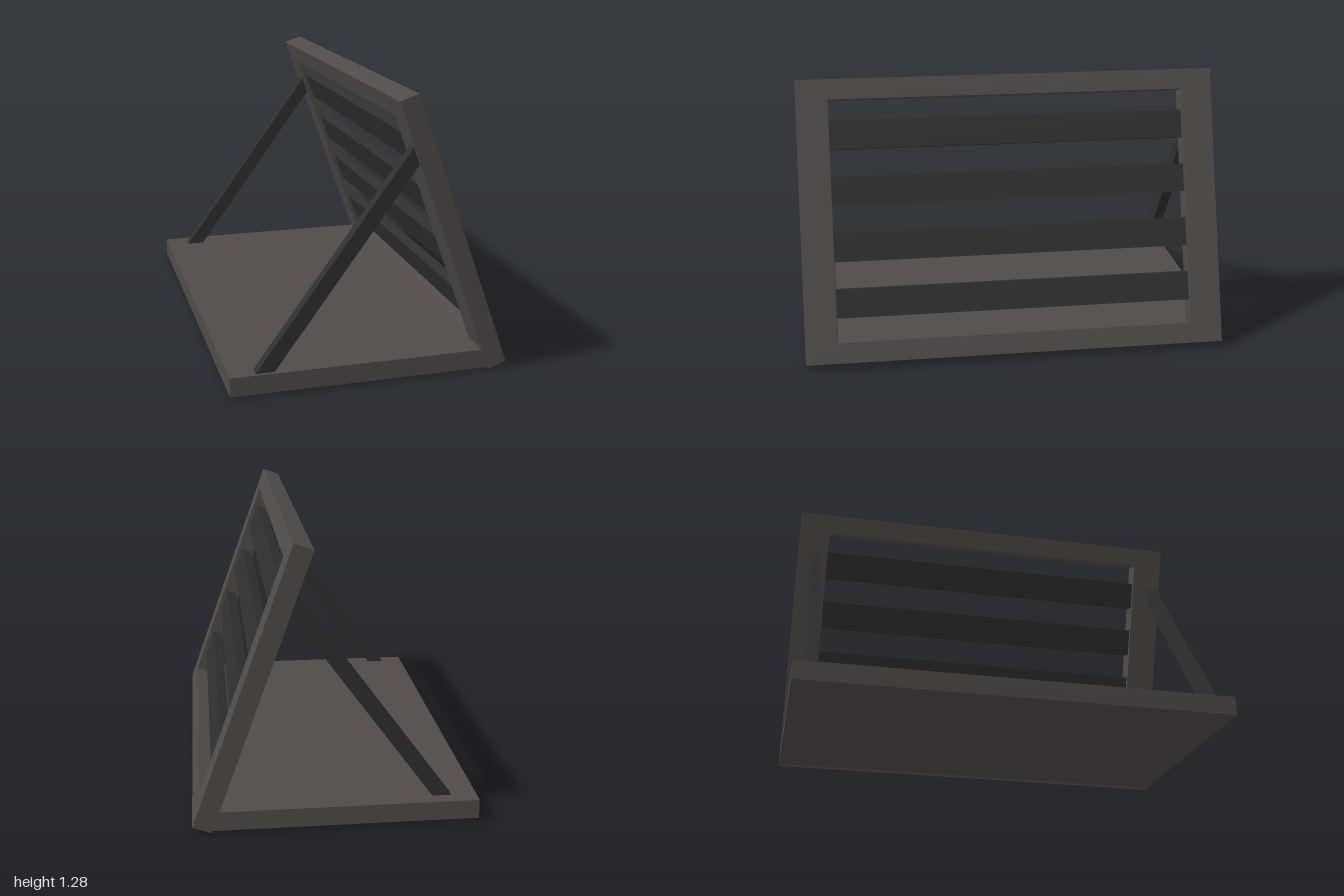
import * as THREE from 'three';

const frameMat = new THREE.MeshStandardMaterial({ color: 0x504b49 });
frameMat.name = 'warm grey';
const slatMat = new THREE.MeshStandardMaterial({ color: 0x2f2f2f });
slatMat.name = 'charcoal';

function box(name, w, h, d, mat, x, y, z) {
  const mesh = new THREE.Mesh(new THREE.BoxGeometry(w, h, d), mat);
  mesh.name = name;
  mesh.position.set(x, y, z);
  return mesh;
}

// Rectangular outline, wound either way so it can serve as a hole
function rect(path, halfW, halfH) {
  path.moveTo(-halfW, -halfH);
  path.lineTo(halfW, -halfH);
  path.lineTo(halfW, halfH);
  path.lineTo(-halfW, halfH);
  path.closePath();
  return path;
}

export function createModel() {
  const model = new THREE.Group();
  model.name = 'slattedStand';

  // Flat base board
  model.add(box('base', 1.19, 0.088, 2, frameMat, -0.045, 0.057, 0));

  // Leaning panel: frame with an opening, filled by slats
  const panel = new THREE.Group();
  panel.name = 'leaningPanel';
  panel.position.set(0.368, 0.645, 0);
  panel.rotation.z = 0.345;
  model.add(panel);

  const thickness = 0.09, halfLength = 0.666;
  const outline = rect(new THREE.Shape(), 1, halfLength);
  outline.holes.push(rect(new THREE.Path(), 0.85, halfLength - 0.096));
  const frameGeo = new THREE.ExtrudeGeometry(outline, { depth: thickness, bevelEnabled: false });
  frameGeo.translate(0, 0, -thickness / 2).rotateY(Math.PI / 2);
  const frame = new THREE.Mesh(frameGeo, frameMat);
  frame.name = 'panelFrame';
  panel.add(frame);

  for (let i = 0; i < 4; i++) {
    panel.add(box('slat' + (i + 1), 0.05, 0.136, 1.7, slatMat, 0, 0.007 + (i - 1.5) * 0.264, 0));
  }

  // Diagonal struts, ends sunk into the base and the frame
  const foot = new THREE.Vector2(-0.482, 0.1);
  const head = new THREE.Vector2(0.19, 1.02);
  const run = head.clone().sub(foot);
  const middle = foot.clone().add(head).multiplyScalar(0.5);
  for (const [name, z] of [['frontStrut', 0.958], ['backStrut', -0.91]]) {
    const strut = box(name, run.length() + 0.08, 0.068, 0.052, slatMat, middle.x, middle.y, z);
    strut.rotation.z = run.angle();
    model.add(strut);
  }

  return model;
}
